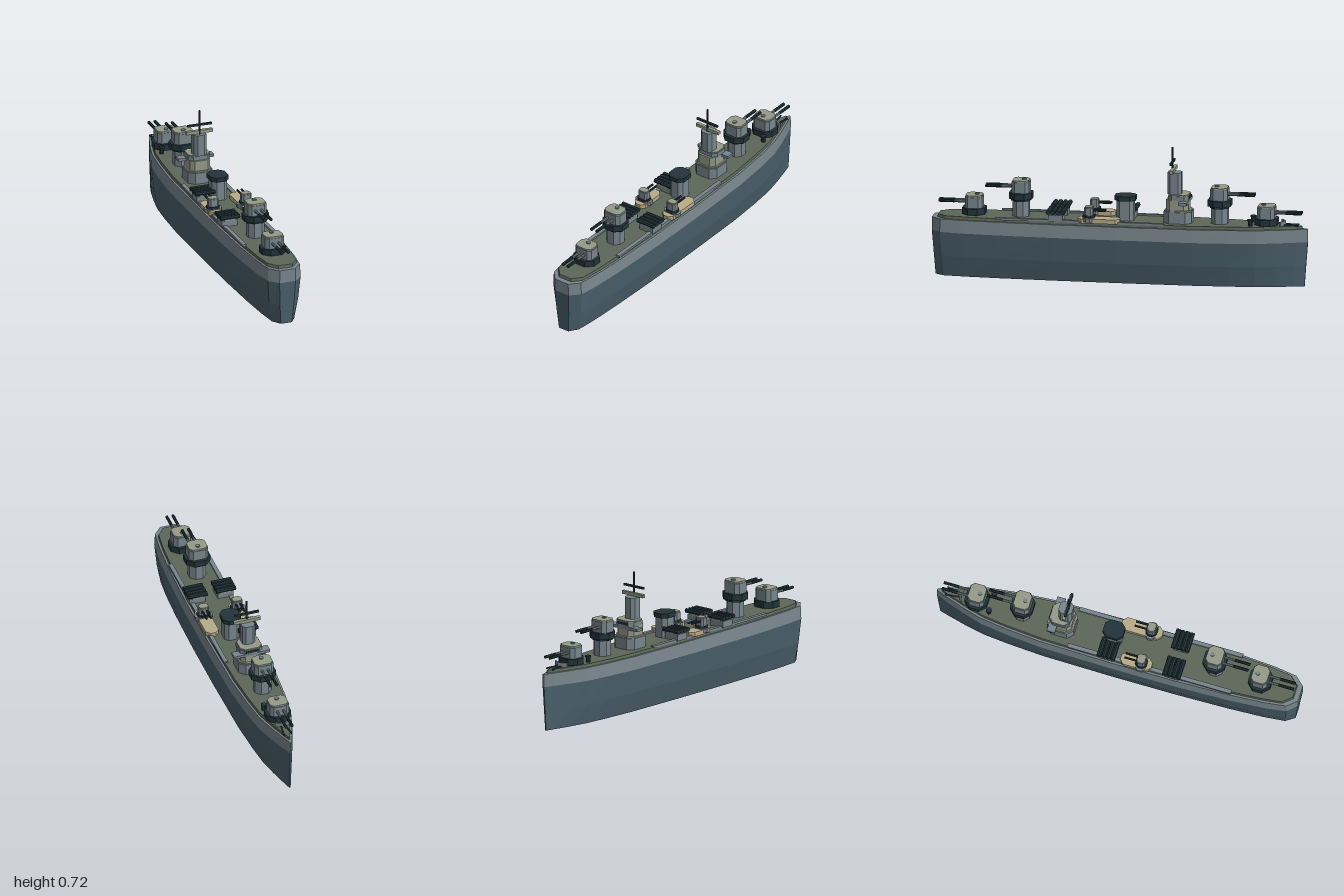
import * as THREE from 'three';

const mat = (name, color) => {
  const m = new THREE.MeshStandardMaterial({ color });
  m.name = name;
  return m;
};

export function createModel() {
  const M = {
    lower: mat('lower hull blue', 0x4a606c),
    grey: mat('ship grey', 0x78868d),
    deck: mat('deck green', 0x5d6858),
    dark: mat('dark steel', 0x22343a),
    light: mat('roof olive', 0x959a88),
    sand: mat('platform sand', 0xb8ab88),
  };
  const ship = new THREE.Group();
  ship.name = 'warship';

  const group = (name, x = 0, y = 0, z = 0, parent = ship) => {
    const g = new THREE.Group();
    g.name = name;
    g.position.set(x, y, z);
    parent.add(g);
    return g;
  };
  const add = (parent, name, geo, m, x = 0, y = 0, z = 0) => {
    const mesh = new THREE.Mesh(geo, m);
    mesh.name = name;
    mesh.position.set(x, y, z);
    parent.add(mesh);
    return mesh;
  };
  const box = (p, name, m, w, h, d, x, y, z) => add(p, name, new THREE.BoxGeometry(w, h, d), m, x, y, z);

  // upright block with chamfered corners, standing on y
  const block = (p, name, m, w, h, d, c, x, y, z) => {
    const a = w / 2, b = d / 2;
    const s = new THREE.Shape([
      [a, -b + c], [a, b - c], [a - c, b], [-a + c, b],
      [-a, b - c], [-a, -b + c], [-a + c, -b], [a - c, -b],
    ].map(([u, v]) => new THREE.Vector2(u, v)));
    const g = new THREE.ExtrudeGeometry(s, { depth: h, bevelEnabled: false });
    g.rotateX(-Math.PI / 2);
    return add(p, name, g, m, x, y, z);
  };

  // faceted rod along an axis
  const rod = (p, name, m, r, len, axis, x, y, z) => {
    const g = new THREE.CylinderGeometry(r, r, len, 8).toNonIndexed();
    if (axis === 'z') g.rotateX(Math.PI / 2);
    if (axis === 'x') g.rotateZ(Math.PI / 2);
    g.computeVertexNormals();
    return add(p, name, g, m, x, y, z);
  };

  // hull outline from stern to bow: [z, half width]
  const half = [[1, 0.045], [0.95, 0.093], [0.83, 0.11], [0.64, 0.123], [0.35, 0.132], [0, 0.134],
    [-0.4, 0.128], [-0.6, 0.111], [-0.74, 0.092], [-0.85, 0.06], [-0.94, 0.028], [-1, 0.005]];
  const outline = [...half.map(([z, x]) => [x, z]), ...half.map(([z, x]) => [-x, z]).reverse()];

  // stacked rings of the outline: [y, x scale, z scale]
  const loft = (name, m, levels, top, bottom) => {
    const pos = [], n = outline.length;
    const pt = (l, i) => [outline[i % n][0] * l[1], l[0], outline[i % n][1] * l[2]];
    const tri = (a, b, c) => pos.push(...a, ...b, ...c);
    const lo = levels[0], hi = levels[levels.length - 1];
    for (let i = 0; i < n; i++) {
      for (let k = 0; k < levels.length - 1; k++) {
        const a = pt(levels[k], i), b = pt(levels[k], i + 1);
        const c = pt(levels[k + 1], i + 1), d = pt(levels[k + 1], i);
        tri(a, b, c);
        tri(a, c, d);
      }
      if (top) tri([0, hi[0], 0], pt(hi, i), pt(hi, i + 1));
      if (bottom) tri([0, lo[0], 0], pt(lo, i + 1), pt(lo, i));
    }
    const g = new THREE.BufferGeometry();
    g.setAttribute('position', new THREE.Float32BufferAttribute(pos, 3));
    g.computeVertexNormals();
    add(ship, name, g, m);
  };
  loft('lowerHull', M.lower, [[0, 0.68, 0.982], [0.11, 0.88, 0.99], [0.24, 1, 1]], false, true);
  loft('upperHull', M.grey, [[0.24, 1, 1], [0.31, 0.955, 1]], true, false);
  loft('deck', M.deck, [[0.31, 0.87, 0.972], [0.326, 0.85, 0.968]], true, false);
  for (const s of [-1, 1]) box(ship, 'sideWalkway', M.grey, 0.022, 0.012, 0.9, s * 0.106, 0.328, 0.2);

  // twin gun turrets; dir is the way the barrels point, base the height of the ring
  const turret = (name, z, dir, base) => {
    const g = group(name, 0, base, z);
    if (dir < 0) g.rotation.y = Math.PI;
    if (base > 0.35) block(g, 'barbette', M.grey, 0.092, base - 0.32, 0.088, 0.026, 0, 0.325 - base, 0);
    block(g, 'turretRing', M.dark, 0.134, 0.034, 0.122, 0.036, 0, 0, 0);
    block(g, 'ringFoot', M.dark, 0.11, 0.012, 0.1, 0.03, 0, -0.01, 0);
    block(g, 'turretHouse', M.grey, 0.106, 0.058, 0.092, 0.018, 0, 0.034, 0);
    block(g, 'turretRoof', M.light, 0.1, 0.009, 0.086, 0.018, 0, 0.092, 0);
    rod(g, 'roofHatch', M.grey, 0.012, 0.008, 'y', 0, 0.103, -0.015);
    for (const s of [-1, 1]) {
      rod(g, 'barrelSleeve', M.grey, 0.0075, 0.07, 'z', s * 0.017, 0.064, 0.075);
      rod(g, 'barrel', M.dark, 0.0085, 0.085, 'z', s * 0.017, 0.064, 0.146);
    }
  };
  turret('bowLowerTurret', -0.78, -1, 0.33);
  turret('bowUpperTurret', -0.53, -1, 0.42);
  turret('sternUpperTurret', 0.53, 1, 0.42);
  turret('sternLowerTurret', 0.78, 1, 0.33);

  // bow fittings
  for (const s of [-1, 1]) {
    rod(ship, 'capstan', M.dark, 0.012, 0.03, 'y', s * 0.05, 0.34, -0.7);
    rod(ship, 'capstanCap', M.dark, 0.016, 0.009, 'y', s * 0.05, 0.357, -0.7);
    const wall = box(ship, 'breakwater', M.grey, 0.045, 0.025, 0.008, s * 0.021, 0.338, -0.867);
    wall.rotation.y = -s * 0.5;
    const chain = box(ship, 'anchorChain', M.dark, 0.007, 0.008, 0.09, s * 0.016, 0.329, -0.905);
    chain.rotation.y = -s * 0.12;
  }

  // bridge tower and mast
  const bridge = group('bridge', 0, 0.325, -0.31);
  block(bridge, 'bridgeBase', M.grey, 0.14, 0.062, 0.148, 0.03, 0, 0, 0);
  block(bridge, 'bridgeBaseRoof', M.light, 0.13, 0.007, 0.138, 0.03, 0, 0.062, 0);
  block(bridge, 'bridgeMiddle', M.light, 0.115, 0.06, 0.118, 0.022, 0, 0.065, 0.002);
  block(bridge, 'bridgeUpper', M.grey, 0.124, 0.022, 0.11, 0.022, 0, 0.125, -0.005);
  block(bridge, 'bridgeUpperRoof', M.light, 0.118, 0.006, 0.104, 0.022, 0, 0.147, -0.005);
  box(bridge, 'bridgeWing', M.grey, 0.2, 0.015, 0.045, 0, 0.113, -0.035);
  box(bridge, 'bridgeWindows', M.dark, 0.07, 0.012, 0.006, 0, 0.137, -0.061);
  block(bridge, 'tower', M.grey, 0.07, 0.117, 0.074, 0.016, 0, 0.15, 0.02);
  box(bridge, 'lowerYard', M.light, 0.148, 0.018, 0.018, 0, 0.279, 0.028);
  rod(bridge, 'mast', M.dark, 0.006, 0.135, 'y', 0, 0.332, 0.033);
  box(bridge, 'upperYard', M.dark, 0.136, 0.011, 0.011, 0, 0.32, 0.033);

  // funnel
  const funnel = group('funnel', 0.005, 0.325, -0.028);
  block(funnel, 'funnelBody', M.grey, 0.084, 0.112, 0.092, 0.02, 0, 0, 0);
  block(funnel, 'funnelCap', M.dark, 0.1, 0.025, 0.112, 0.026, 0, 0.109, 0);

  // banks of four tubes lying across the deck
  for (const [x, z] of [[-0.079, 0.328], [0.079, 0.328], [-0.079, -0.033]]) {
    const g = group('tubeBank', x, 0.325, z);
    box(g, 'tubeMount', M.grey, 0.088, 0.035, 0.076, 0, 0.0175, 0);
    box(g, 'tubeCradle', M.light, 0.06, 0.008, 0.084, 0, 0.037, 0);
    for (let i = 0; i < 4; i++) rod(g, 'tube', M.dark, 0.0125, 0.108, 'x', 0, 0.052, (i - 1.5) * 0.0255);
  }

  // side gun platforms with small twin guns
  for (const s of [-1, 1]) {
    const g = group('sideGun', s * 0.093, 0.325, 0.1);
    block(g, 'gunPlatform', M.sand, 0.072, 0.024, s > 0 ? 0.225 : 0.17, 0.022, 0, 0, s > 0 ? 0 : 0.025);
    block(g, 'gunBase', M.grey, 0.096, 0.02, 0.058, 0.018, 0, 0.008, 0.053);
    block(g, 'gunRing', M.dark, 0.068, 0.012, 0.062, 0.018, 0, 0.028, 0.053);
    block(g, 'gunHouse', M.grey, 0.056, 0.042, 0.046, 0.01, 0, 0.038, 0.053);
    block(g, 'gunRoof', M.light, 0.05, 0.006, 0.04, 0.01, 0, 0.08, 0.053);
    for (const t of [-1, 1]) rod(g, 'gunBarrel', M.dark, 0.006, 0.075, 'z', t * 0.012, 0.066, 0);
  }
  return ship;
}
